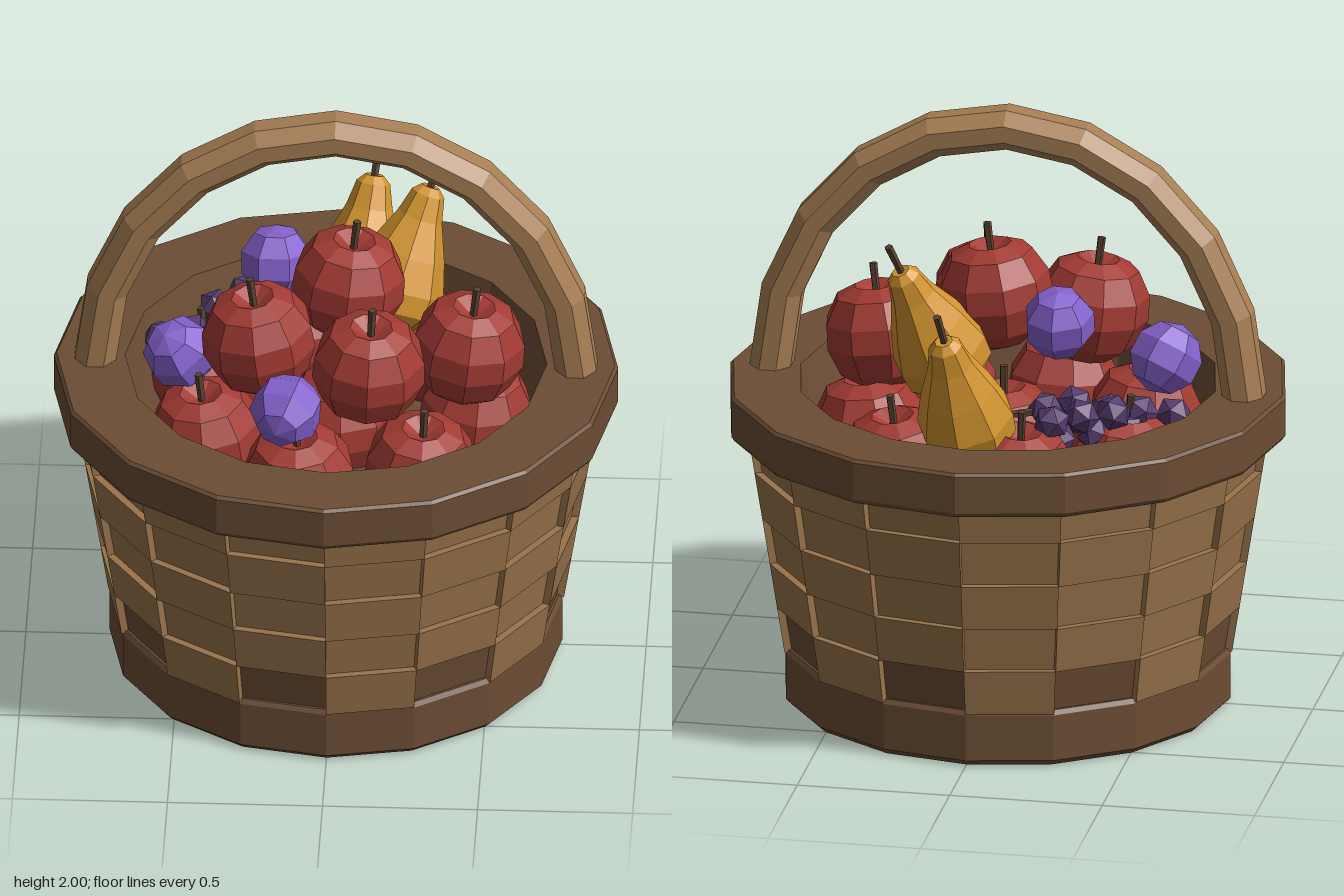
import * as THREE from 'three';

const mat = (name, color) => {
  const m = new THREE.MeshStandardMaterial({ color, flatShading: true });
  m.name = name;
  return m;
};
const lathe = (points, sides) => new THREE.LatheGeometry(points.map(([r, y]) => new THREE.Vector2(r, y)), sides);

// Moves every vertex of a geometry by a rule
function remap(geo, rule) {
  const p = geo.attributes.position, v = new THREE.Vector3();
  for (let i = 0; i < p.count; i++) {
    v.fromBufferAttribute(p, i);
    p.setXYZ(i, ...rule(v));
  }
  geo.computeVertexNormals();
  return geo;
}

export function createModel() {
  const root = new THREE.Group();
  const M = {
    weave: mat('weave wood', 0x9a744c),
    rim: mat('dark wood', 0x6c4d34),
    handle: mat('handle wood', 0xa87f54),
    apple: mat('apple red', 0xa33b34),
    pear: mat('pear yellow', 0xd3952f),
    plum: mat('plum violet', 0x8461cc),
    grape: mat('grape purple', 0x563b6e),
    stem: mat('stem brown', 0x5a4230),
  };
  const add = (name, geo, material, parent = root) => {
    const m = new THREE.Mesh(geo, material);
    m.name = name;
    parent.add(m);
    return m;
  };

  // Foot with recessed underside, continuing into the wall behind the weave
  add('base', lathe([[0, 0.03], [0.54, 0.03], [0.54, 0], [0.71, 0], [0.73, 0.02], [0.73, 0.175],
    [0.72, 0.19], [0.70, 0.19], [0.81, 0.93]], 16), M.rim);

  // Rim, inner wall and the bed the fruit rests on
  add('rim', lathe([[0.78, 0.92], [0.9, 0.92], [0.91, 0.935], [0.91, 1.06], [0.9, 1.07],
    [0.68, 1.07], [0.645, 0.93], [0.6, 0.76], [0, 0.76]], 16), M.rim);

  // Woven panels, alternately raised and recessed
  const weave = new THREE.Group();
  weave.name = 'weave';
  root.add(weave);
  const rows = [0.18, 0.335, 0.49, 0.645, 0.805, 0.93];
  const step = Math.PI / 8;
  for (let r = 0; r < 5; r++) {
    for (let i = 0; i < 16; i++) {
      const raised = (r + i) % 2 === 0;
      const geo = remap(new THREE.BoxGeometry(1, 1, 1), (v) => {
        const a = (i + 0.5 + v.x) * step;
        const y = v.y < 0 ? rows[r] : rows[r + 1];
        const outer = 0.735 + (y - 0.18) * 0.158 - (raised ? 0 : 0.025);
        const d = v.z > 0 ? outer : outer - 0.05;
        return [Math.sin(a) * d, y, Math.cos(a) * d];
      });
      add('weavePanel', geo, r === 0 && !raised ? M.rim : M.weave, weave);
    }
  }

  // Arched handle with octagonal section
  const k = 1 / Math.cos(Math.PI / 8);
  add('handle', remap(new THREE.CylinderGeometry(1, 1, 1, 8, 10, false, Math.PI / 8), (v) => {
    const a = (v.y + 0.5) * Math.PI;
    const n = new THREE.Vector2(Math.cos(a) / 0.775, Math.sin(a) / 0.865).normalize();
    const off = v.x * 0.067 * k;
    return [0.775 * Math.cos(a) + n.x * off, 1.065 + 0.868 * Math.sin(a) + n.y * off, v.z * 0.08 * k];
  }), M.handle);

  const stemGeo = new THREE.CylinderGeometry(0.014, 0.012, 0.13, 5);

  // Apples: x, y, z, tilt about x, tilt about z
  const appleGeo = lathe([[0, -0.14], [0.08, -0.165], [0.15, -0.11], [0.185, -0.02], [0.18, 0.06],
    [0.135, 0.14], [0.07, 0.17], [0.02, 0.14], [0, 0.135]], 9);
  const apples = [
    [-0.24, 1.26, 0.19, 0.05, 0.12], [0.12, 1.235, 0.31, 0.1, -0.05], [0.43, 1.165, 0.07, 0.05, -0.12],
    [0.04, 1.36, 0.0, 0, -0.12], [-0.41, 0.89, 0.19, 0.05, 0.1], [0.29, 0.88, 0.35, 0.1, -0.05],
    [-0.1, 0.88, 0.42, 0.1, 0.05], [-0.12, 0.89, -0.43, -0.1, 0.05], [0.29, 0.89, -0.36, -0.1, -0.1],
    [-0.42, 0.88, -0.2, -0.05, 0.1], [0.45, 0.87, -0.01, 0, -0.1], [0.02, 0.86, 0.03, 0, 0],
  ];
  apples.forEach(([x, y, z, rx, rz], i) => {
    const g = new THREE.Group();
    g.name = 'apple';
    g.position.set(x, y, z);
    g.rotation.set(rx, 0, rz);
    root.add(g);
    add('appleFlesh', appleGeo, M.apple, g).rotation.y = i * 0.7;
    add('appleStem', stemGeo, M.stem, g).position.y = 0.175;
  });

  // Pears: body centre and direction of the neck
  const pearGeo = lathe([[0, -0.15], [0.09, -0.13], [0.155, -0.05], [0.16, 0.02], [0.125, 0.13],
    [0.075, 0.25], [0.055, 0.33], [0.03, 0.355], [0, 0.35]], 8);
  for (const [pos, dir] of [
    [[0.05, 1.08, -0.45], [0.05, 0.33, -0.14]],
    [[0.18, 1.22, -0.2], [0.11, 0.31, -0.12]],
  ]) {
    const g = new THREE.Group();
    g.name = 'pear';
    g.position.set(...pos);
    g.quaternion.setFromUnitVectors(new THREE.Vector3(0, 1, 0), new THREE.Vector3(...dir).normalize());
    root.add(g);
    add('pearFlesh', pearGeo, M.pear, g);
    add('pearStem', stemGeo, M.stem, g).position.y = 0.395;
  }

  // Plums
  const plumGeo = new THREE.SphereGeometry(0.12, 7, 5);
  [[-0.5, 1.14, 0.09], [-0.14, 1.165, 0.46], [-0.2, 1.335, -0.17]].forEach((p, i) => {
    const m = add('plum', plumGeo, M.plum);
    m.position.set(...p);
    m.rotation.set(0.5 + i, i * 0.8, 0.4);
  });

  // Bunch of grapes with its stalk
  const bunch = new THREE.Group();
  bunch.name = 'grapes';
  root.add(bunch);
  const grapeGeo = new THREE.IcosahedronGeometry(0.06, 0);
  [[-0.57, 1.04, -0.15], [-0.47, 1.05, -0.18], [-0.4, 1.08, -0.28], [-0.36, 1.04, -0.17],
    [-0.31, 1.09, -0.36], [-0.22, 1.08, -0.4], [-0.18, 1.08, -0.29], [-0.27, 1.1, -0.27],
    [-0.27, 1.02, -0.19], [-0.34, 1.0, -0.28], [-0.23, 1.0, -0.34], [-0.44, 1.0, -0.23]].forEach((p, i) => {
    const m = add('grape', grapeGeo, M.grape, bunch);
    m.position.set(...p);
    m.rotation.set(i, i * 0.6, 0);
  });
  const stalk = add('grapeStalk', stemGeo, M.stem, bunch);
  stalk.position.set(-0.1, 1.07, -0.32);
  stalk.rotation.set(0, 0.2, 1.45);

  return root;
}
